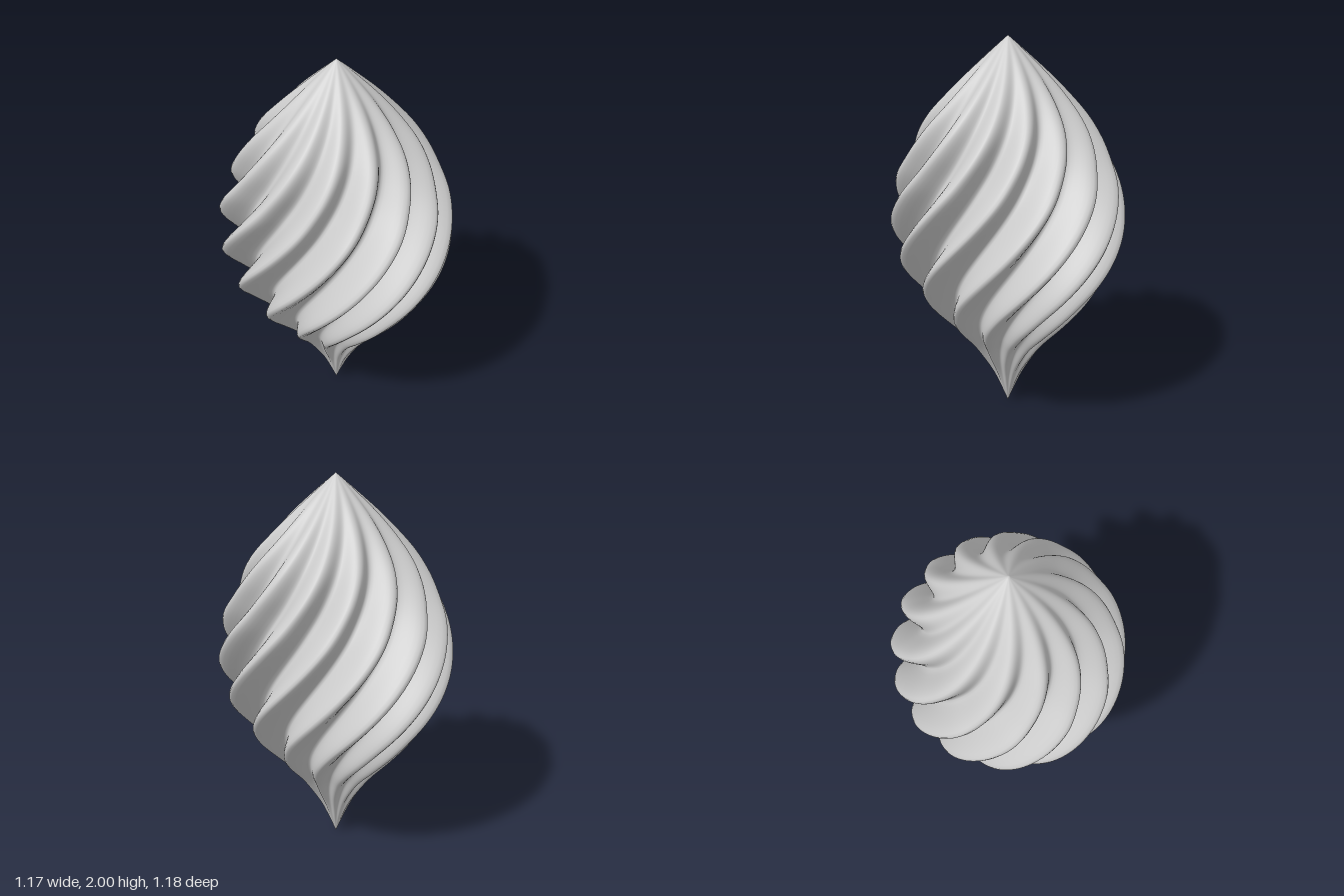
import * as THREE from 'three';
import { mergeVertices } from 'three/addons/utils/BufferGeometryUtils.js';

const LOBES = 13;
const TWIST = THREE.MathUtils.degToRad(120); // total turn from bottom tip to top tip
const DEPTH = 0.145; // flute depth at mid height, relative to the radius

// Crest radius at even steps of height, from bottom tip to top tip
const RADII = [0, 0.04, 0.085, 0.145, 0.215, 0.305, 0.39, 0.46, 0.52, 0.562, 0.585,
  0.59, 0.58, 0.555, 0.51, 0.46, 0.395, 0.31, 0.215, 0.11, 0];

// Teardrop lathe whose rings are fluted and progressively turned
function twistedDrop() {
  const profile = new THREE.SplineCurve(RADII.map((r, i) => new THREE.Vector2(r, i * 0.1)))
    .getPoints(140).map((p) => p.setX(Math.max(p.x, 0)));
  let geometry = new THREE.LatheGeometry(profile, LOBES * 16);
  const pos = geometry.attributes.position;
  for (let i = 0; i < pos.count; i++) {
    const x = pos.getX(i), y = pos.getY(i), z = pos.getZ(i);
    const around = Math.atan2(x, z);
    // the flutes fade out and the turn eases off towards both tips
    const depth = DEPTH * (1 - Math.abs(y - 1) ** 2.2);
    const turn = TWIST * (THREE.MathUtils.smoothstep(y, 0, 2) - 0.5);
    const radius = Math.hypot(x, z) * (1 - depth * Math.cos(LOBES * around)) / (1 + depth);
    pos.setXYZ(i, radius * Math.sin(around + turn), y, radius * Math.cos(around + turn));
  }
  // weld the seam and tips for smooth shading
  geometry.deleteAttribute('uv');
  geometry.deleteAttribute('normal');
  geometry = mergeVertices(geometry, 1e-5);
  geometry.computeVertexNormals();
  return geometry;
}

export function createModel() {
  const group = new THREE.Group();
  group.name = 'twistedFinial';
  const body = new THREE.Mesh(twistedDrop(), new THREE.MeshStandardMaterial({ color: 0xcccccc }));
  body.name = 'flutedBody';
  group.add(body);
  return group;
}
